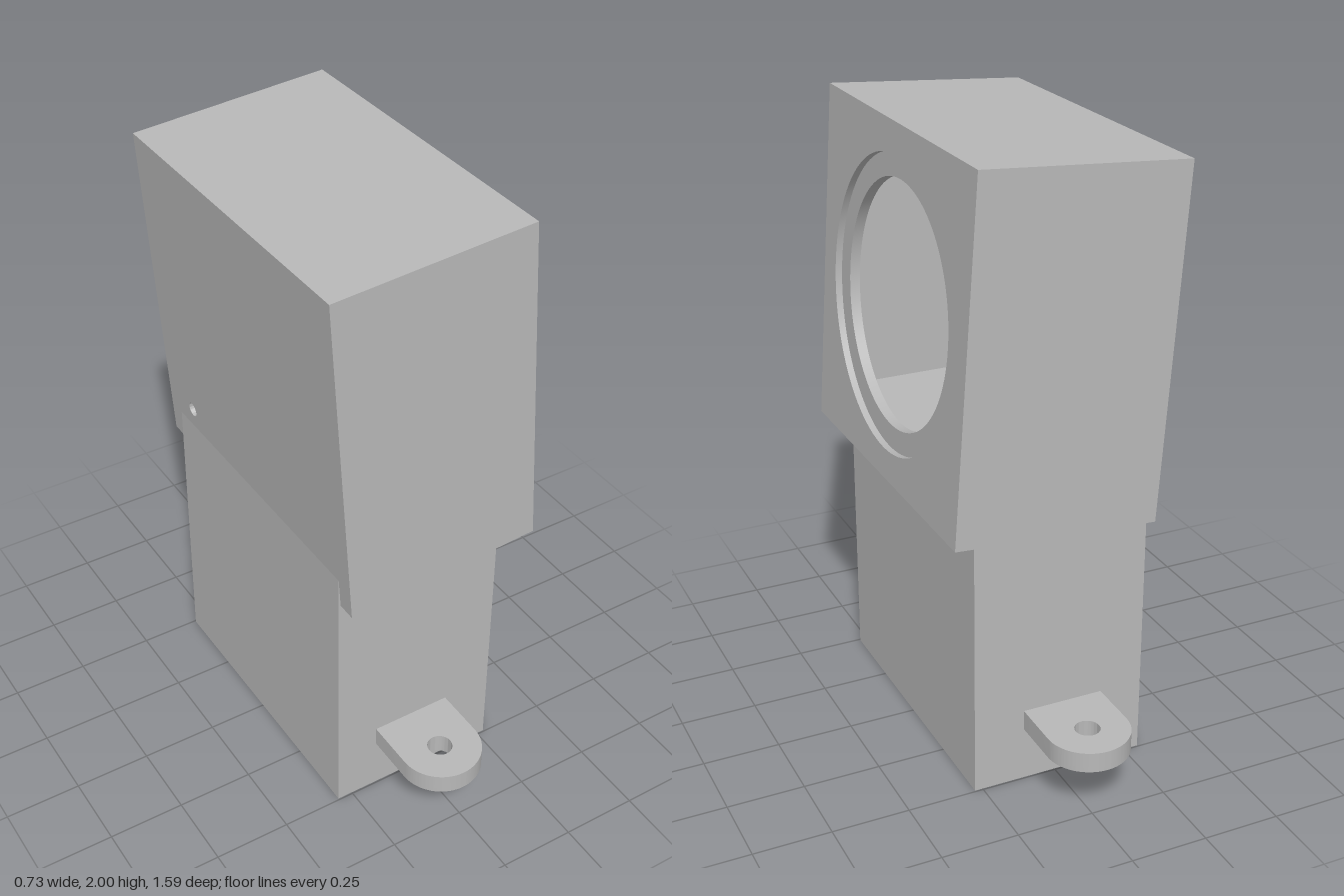
import * as THREE from 'three';
import { toCreasedNormals } from 'three/addons/utils/BufferGeometryUtils.js';

const T = 0.055; // wall thickness

function rect(x0, y0, x1, y1) {
  return [[x0, y0], [x1, y0], [x1, y1], [x0, y1]].map(p => new THREE.Vector2(...p));
}

function addHole(shape, x, y, r) {
  shape.holes.push(new THREE.Path().absarc(x, y, r, 0, Math.PI * 2, true));
  return shape;
}

function extrude(shape, depth) {
  const g = new THREE.ExtrudeGeometry(shape, { depth, bevelEnabled: false, curveSegments: 48 });
  return toCreasedNormals(g, 0.6);
}

export function createModel() {
  const model = new THREE.Group();
  const grey = new THREE.MeshStandardMaterial({ color: 0xb8b8b8 });
  grey.name = 'plain grey';

  const add = (parent, name, geometry, x = 0, y = 0, z = 0) => {
    const mesh = new THREE.Mesh(geometry, grey);
    mesh.name = name;
    mesh.position.set(x, y, z);
    parent.add(mesh);
    return mesh;
  };

  // Rectangular tube, open at the bottom
  const tube = new THREE.Shape(rect(-0.301, -0.495, 0.276, 0.495));
  tube.holes.push(new THREE.Path(rect(-0.301 + T, -0.495 + T, 0.276 - T, 0.495 - T).reverse()));
  add(model, 'baseTube', extrude(tube, 0.99).rotateX(-Math.PI / 2));

  // Rounded mounting tabs on both ends of the tube
  const tab = new THREE.Shape();
  tab.moveTo(-0.134, -0.19);
  tab.lineTo(0.134, -0.19);
  tab.lineTo(0.134, 0);
  tab.absarc(0, 0, 0.134, 0, Math.PI, false);
  tab.lineTo(-0.134, -0.19);
  addHole(tab, 0, 0, 0.04);
  for (const side of [1, -1]) {
    const g = extrude(tab, 0.066).rotateX(-Math.PI / 2);
    if (side > 0) g.rotateY(Math.PI);
    add(model, side > 0 ? 'frontTab' : 'backTab', g, -0.025, 0.18, side * 0.66);
  }

  // Tilted hollow housing
  const W = 0.66, H = 1.113, D = 1.116, tilt = 0.0676;
  const housing = new THREE.Group();
  housing.name = 'housing';
  housing.position.set(-0.0025, 1.4225, 0);
  housing.rotation.z = tilt;
  model.add(housing);

  for (const side of [1, -1]) {
    add(housing, side > 0 ? 'frontWall' : 'backWall',
      new THREE.BoxGeometry(W, H, T), 0, 0, side * (D - T) / 2);
  }
  add(housing, 'roof', new THREE.BoxGeometry(W, T, D - 2 * T), 0, (H - T) / 2, 0);

  // Side walls with round openings; shape x runs towards -z
  const sideWall = (name, x, depth, holeX, holeY, r) => {
    const shape = new THREE.Shape(rect(-D / 2 + T, -H / 2, D / 2 - T, H / 2 - T));
    add(housing, name, extrude(addHole(shape, holeX, holeY, r), depth).rotateY(Math.PI / 2), x);
  };
  const recess = 0.022;
  sideWall('openingRecess', W / 2 - recess, recess, 0, 0, 0.46);
  sideWall('openingRim', W / 2 - T, T - recess, 0, 0, 0.386);
  sideWall('cableWall', -W / 2, T, 0.4, -0.385, 0.024);

  // Floor, level on top and tilted below
  const xi = W / 2 - T, level = x => -0.43 - x * Math.tan(tilt);
  const floor = new THREE.Shape([
    new THREE.Vector2(-xi, -H / 2), new THREE.Vector2(xi, -H / 2),
    new THREE.Vector2(xi, level(xi)), new THREE.Vector2(-xi, level(-xi)),
  ]);
  add(housing, 'floor', extrude(floor, D - 2 * T), 0, 0, -D / 2 + T);

  return model;
}
